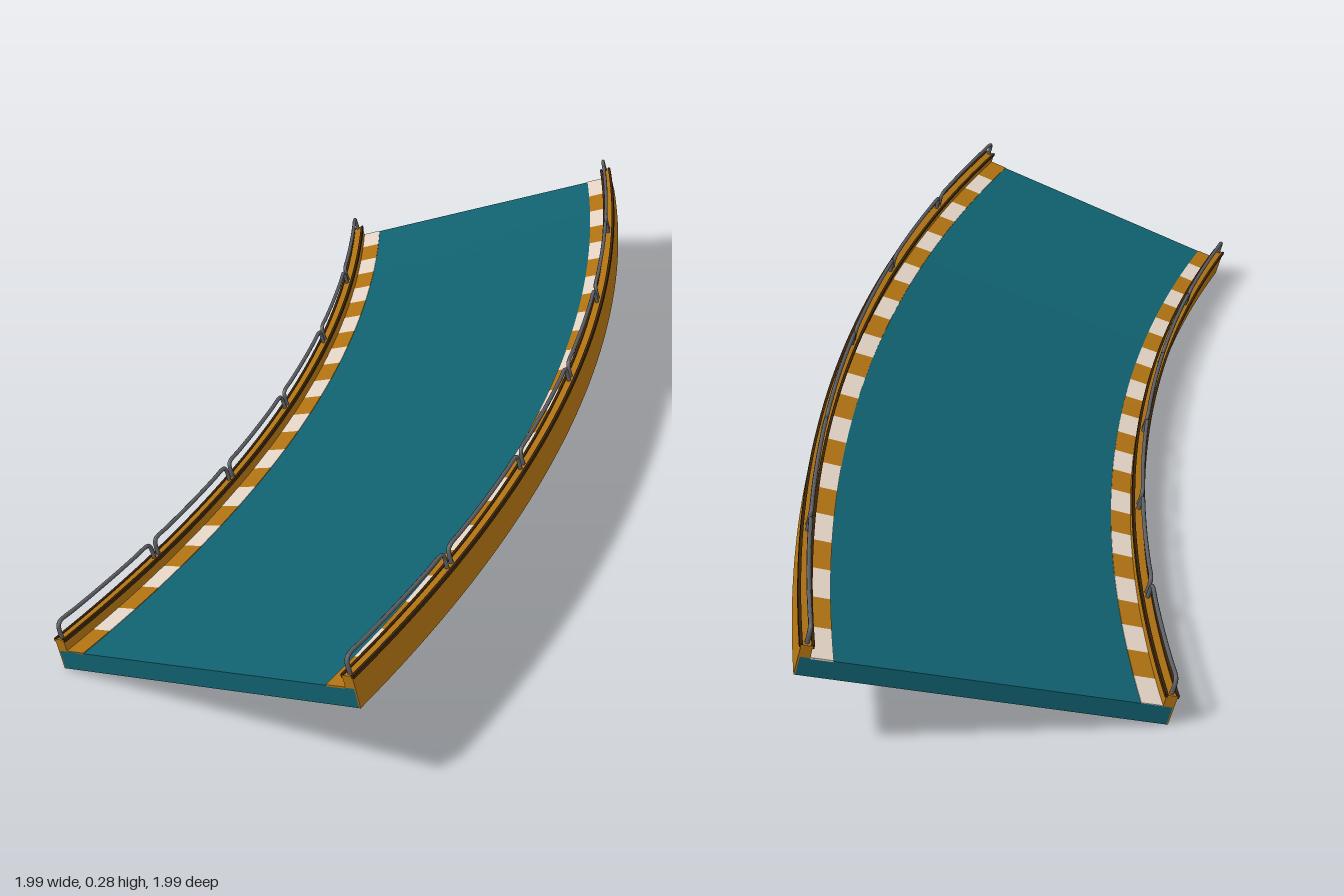
import * as THREE from 'three';
import { toCreasedNormals } from 'three/addons/utils/BufferGeometryUtils.js';

// Plan: a 30 degree arc whose centre lies on the diagonal x = z
const CENTRE = -2.88;
const R0 = 3.79;                 // radius of the low inner edge
const WIDTH = 0.714;             // across the banked deck
const BANK = THREE.MathUtils.degToRad(15);
const START = Math.PI / 6, SWEEP = Math.PI / 6;
const DECK = 0.04, WALL = 0.066, WALL_W = 0.022, STRIPE_END = 0.065;

const mat = (color) => new THREE.MeshStandardMaterial({ color });

// Banked cross-section (u across, v up from the deck) to radius and height
const bank = (u, v) => [
  R0 + u * Math.cos(BANK) - v * Math.sin(BANK),
  u * Math.sin(BANK) + v * Math.cos(BANK),
];

// Point on the curve: t runs 0..1 along the arc
function place(u, v, t) {
  const [r, y] = bank(u, v);
  const a = START + SWEEP * t;
  return new THREE.Vector3(CENTRE + r * Math.cos(a), y, CENTRE + r * Math.sin(a));
}

// Sweep a cross-section of [u, v] corners along part of the arc
function sweep(name, corners, material, t0 = 0, t1 = 1, steps = 48) {
  const shape = new THREE.Shape(corners.map(([u, v]) => new THREE.Vector2(u, v)));
  const geo = new THREE.ExtrudeGeometry(shape, { depth: 1, steps, bevelEnabled: false });
  const pos = geo.attributes.position;
  for (let i = 0; i < pos.count; i++) {
    const p = place(pos.getX(i), pos.getY(i), t0 + (t1 - t0) * pos.getZ(i));
    pos.setXYZ(i, p.x, p.y, p.z);
  }
  const mesh = new THREE.Mesh(toCreasedNormals(geo, 0.5), material);
  mesh.name = name;
  return mesh;
}

const rect = (u0, u1, v0, v1) => [[u0, v0], [u1, v0], [u1, v1], [u0, v1]];

// One hoop of the handrail: post, rounded corner, long bar, corner, post
function railHoop(u, t0, t1, material) {
  const top = WALL + 0.033, c = 0.012, ct = c / (4.1 * SWEEP);
  const rise = [[0, WALL - 0.004], [0, top - c], [ct * 0.3, top - c * 0.3], [ct, top]];
  const points = rise.map(([dt, v]) => place(u, v, t0 + dt));
  for (let i = 1; i < 6; i++) points.push(place(u, top, t0 + ((t1 - t0) * i) / 6));
  rise.reverse().forEach(([dt, v]) => points.push(place(u, v, t1 - dt)));
  const curve = new THREE.CatmullRomCurve3(points, false, 'centripetal');
  const mesh = new THREE.Mesh(new THREE.TubeGeometry(curve, 72, 0.0045, 8), material);
  mesh.name = 'railHoop';
  return mesh;
}

export function createModel() {
  const model = new THREE.Group();
  model.name = 'bankedTrackCurve';
  const teal = mat(0x10606f), gold = mat(0xb07212), cream = mat(0xe2d3c4);
  const brown = mat(0x3a2408), steel = mat(0x5c5e62);

  // Road slab
  model.add(sweep('roadDeck', rect(0.003, WIDTH - 0.003, 0, DECK), teal));

  // Each edge: mirror the section across the deck for the outer side
  for (const side of ['inner', 'outer']) {
    const m = (u) => (side === 'inner' ? u : WIDTH - u);
    const section = (corners) => corners.map(([u, v]) => [m(u), v]);
    const edge = new THREE.Group();
    edge.name = side + 'Edge';

    // Side wall: a thin skin beside the slab and a kerb on top of it
    edge.add(sweep('sideWall', section([
      [0, 0], [0.003, 0], [0.003, DECK], [WALL_W, DECK], [WALL_W, WALL], [0, WALL],
    ]), gold));

    // Dark trim along both top corners of the wall
    for (const u of [0, WALL_W]) {
      edge.add(sweep('wallTrim', section(rect(u - 0.003, u + 0.003, WALL - 0.005, WALL + 0.002)), brown));
    }

    // Alternating painted stripes
    const stripes = new THREE.Group();
    stripes.name = 'kerbStripes';
    const n = 24;
    for (let i = 0; i < n; i++) {
      stripes.add(sweep('stripe', section(rect(WALL_W, STRIPE_END, DECK - 0.002, DECK + 0.0015)),
        i % 2 ? gold : cream, i / n, (i + 1) / n, 2));
    }
    edge.add(stripes);

    // Handrail of six hoops
    const rail = new THREE.Group();
    rail.name = 'handrail';
    for (let i = 0; i < 6; i++) {
      rail.add(railHoop(m(WALL_W / 2), (i + 0.025) / 6, (i + 0.975) / 6, steel));
    }
    edge.add(rail);
    model.add(edge);
  }
  return model;
}
